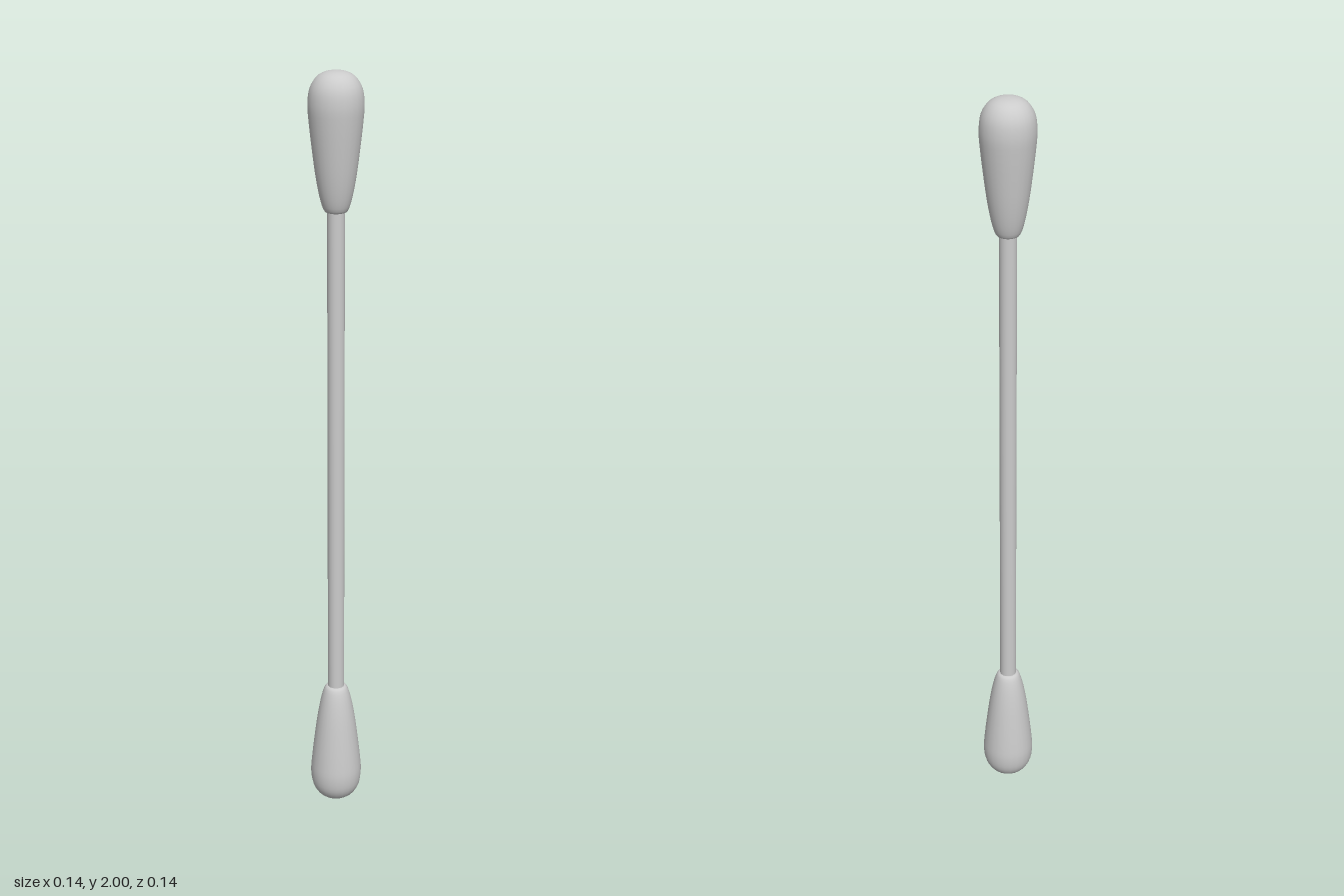
import * as THREE from 'three';

const SIDES = 24;
const TIP_BASE = 0.655; // distance from the middle of the stick to the neck of a tip

export function createModel() {
  const group = new THREE.Group();
  const material = new THREE.MeshStandardMaterial({ color: 0xcccccc });

  // Straight stick running into both tips
  const stick = new THREE.Mesh(new THREE.CylinderGeometry(0.022, 0.022, 1.4, SIDES), material);
  stick.name = 'stick';
  stick.position.y = 1;
  group.add(stick);

  // Teardrop tip: narrow rounded neck, long swell, round end
  const curve = new THREE.SplineCurve([
    [0.022, 0], [0.031, 0.007], [0.041, 0.04], [0.051, 0.095], [0.060, 0.165],
    [0.0665, 0.225], [0.069, 0.265], [0.064, 0.302], [0.048, 0.329], [0.025, 0.342], [0, 0.345],
  ].map(([r, y]) => new THREE.Vector2(r, y)));
  const profile = curve.getPoints(30).map((p) => new THREE.Vector2(Math.max(p.x, 0), p.y));
  profile.unshift(new THREE.Vector2(0.018, 0));
  const tipGeometry = new THREE.LatheGeometry(profile, SIDES);
  tipGeometry.translate(0, TIP_BASE, 0);

  // The same tip on each end, the lower one turned over
  for (const [name, turn] of [['upperTip', 0], ['lowerTip', Math.PI]]) {
    const tip = new THREE.Mesh(tipGeometry, material);
    tip.name = name;
    tip.position.y = 1;
    tip.rotation.x = turn;
    group.add(tip);
  }

  return group;
}
